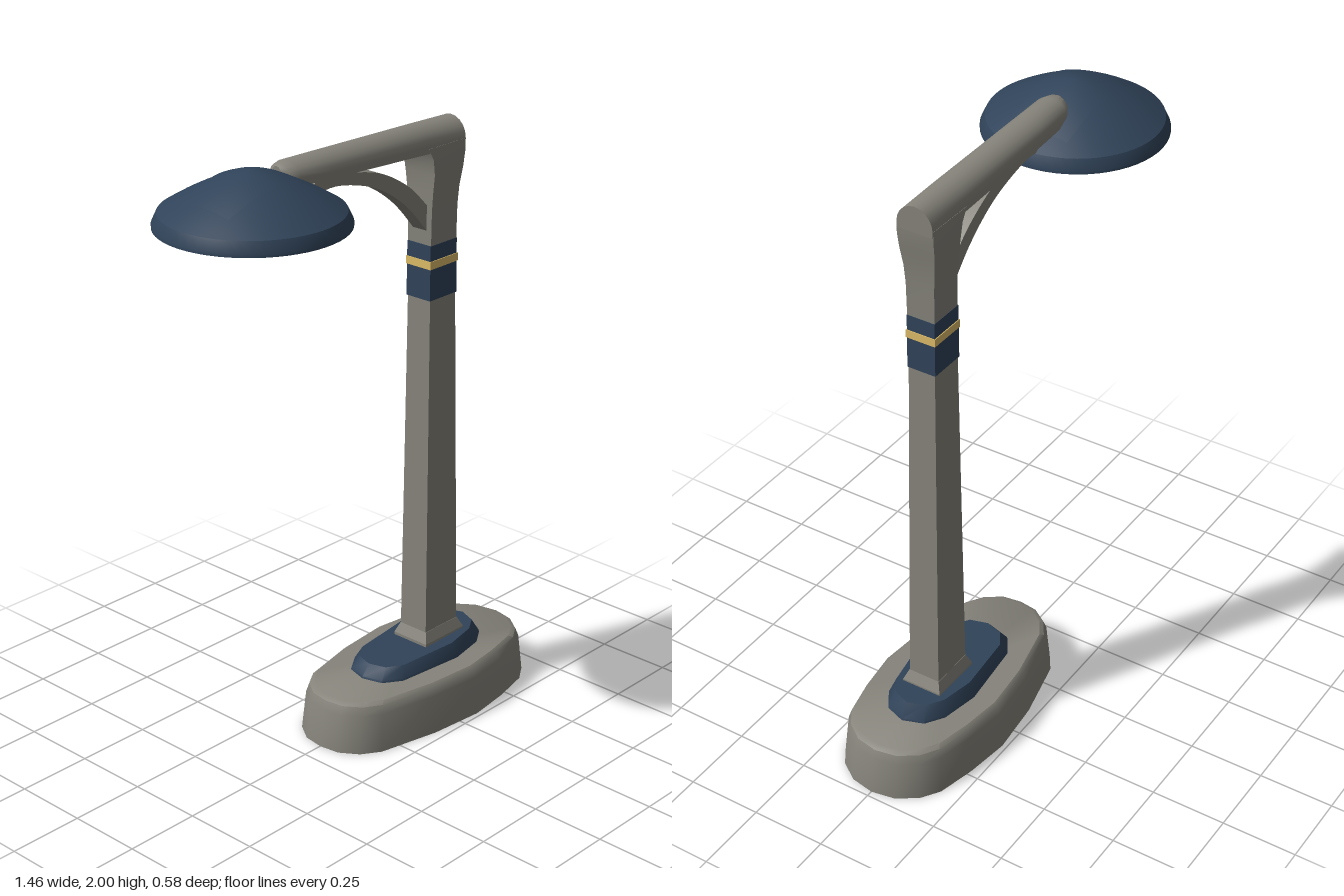
import * as THREE from 'three';
import { toCreasedNormals } from 'three/addons/utils/BufferGeometryUtils.js';
import { ParametricGeometry } from 'three/addons/geometries/ParametricGeometry.js';

const paint = (name, color) => {
  const m = new THREE.MeshStandardMaterial({ color });
  m.name = name;
  return m;
};

// Skin a stack of rings (counterclockwise seen from the last ring) and close both ends.
function loft(rings, crease = 0.6) {
  const pos = [];
  const tri = (...pts) => pts.forEach(p => pos.push(...p));
  const n = rings[0].length;
  const middle = ring => [0, 1, 2].map(k => ring.reduce((s, p) => s + p[k], 0) / n);
  const first = rings[0], last = rings[rings.length - 1];
  const c0 = middle(first), c1 = middle(last);
  for (let j = 0; j < n; j++) {
    const k = (j + 1) % n;
    for (let i = 0; i < rings.length - 1; i++) {
      const a = rings[i], b = rings[i + 1];
      tri(a[j], a[k], b[k]);
      tri(a[j], b[k], b[j]);
    }
    tri(c0, first[k], first[j]);
    tri(c1, last[j], last[k]);
  }
  const g = new THREE.BufferGeometry();
  g.setAttribute('position', new THREE.Float32BufferAttribute(pos, 3));
  return toCreasedNormals(g, crease);
}

// Rectangular ring: height, x range, half depth.
const rect = ([y, x0, x1, z]) => [[x0, y, z], [x1, y, z], [x1, y, -z], [x0, y, -z]];

// Mirrored plan outline, repeated at several heights: [y, scaleX, scaleZ, tilt].
function slab(half, cx, levels) {
  const back = half.slice(1, -1).reverse().map(([x, z]) => [x, -z]);
  return loft(levels.map(([y, sx, sz, tilt = 0]) => [...half, ...back].map(([x, z]) =>
    [cx + (x - cx) * sx, y + (x - cx) * tilt, z * sz])));
}

export function createModel() {
  const group = new THREE.Group();
  const stone = paint('warm grey', 0x85837a);
  const navy = paint('navy', 0x304359);
  const gold = paint('gold', 0xdcbc68);
  const glow = paint('cream', 0xe6d9b6);
  const add = (name, geometry, material) => {
    const mesh = new THREE.Mesh(geometry, material);
    mesh.name = name;
    group.add(mesh);
    return mesh;
  };

  // Base and the plate on it
  add('base', slab([[-0.18, 0], [-0.17, 0.07], [-0.13, 0.13], [-0.07, 0.17], [0.14, 0.217],
    [0.33, 0.235], [0.48, 0.215], [0.61, 0.185], [0.67, 0.145], [0.715, 0.08], [0.73, 0]], 0.275,
  [[0, 1, 1], [0.13, 0.965, 0.95], [0.158, 0.94, 0.91], [0.168, 0.9, 0.86]]), stone);
  add('basePlate', slab([[0.02, 0], [0.04, 0.07], [0.1, 0.11], [0.34, 0.135],
    [0.47, 0.11], [0.53, 0.07], [0.555, 0]], 0.29,
  [[0.16, 1, 1], [0.175, 0.99, 0.98], [0.216, 0.88, 0.84, 0.02]]), navy);

  // Pole, sleeve and neck
  add('poleFoot', loft([[0.2, 0.255, 0.442, 0.07], [0.225, 0.255, 0.442, 0.07],
    [0.26, 0.27, 0.426, 0.056]].map(rect), 0.3), stone);
  add('pole', loft([[0.25, 0.27, 0.425, 0.055], [1.45, 0.281, 0.4, 0.046]].map(rect)), stone);
  add('sleeve', loft([[1.42, 0.277, 0.403, 0.049], [1.6, 0.278, 0.402, 0.048]].map(rect)), navy);
  add('sleeveStripe', loft([[1.524, 0.275, 0.405, 0.051], [1.55, 0.275, 0.405, 0.051]].map(rect)), gold);
  add('neck', loft([[1.58, 0.281, 0.4, 0.047], [1.71, 0.281, 0.401, 0.049], [1.77, 0.281, 0.404, 0.053],
    [1.83, 0.28, 0.412, 0.06], [1.88, 0.272, 0.419, 0.062], [1.92, 0.25, 0.42, 0.062]].map(rect), 0.5), stone);

  // Arm with a flat underside and rounded top: [x, bottom, shoulder, top, half width]
  const armRing = ([x, b, m, t, w]) => {
    const ring = [[x, b, w]];
    for (let i = 0; i <= 10; i++) {
      const a = Math.PI * i / 10;
      ring.push([x, m + (t - m) * Math.sin(a), w * Math.cos(a)]);
    }
    return [...ring, [x, b, -w]];
  };
  add('arm', loft([[0.421, 1.9, 1.92, 1.984, 0.061], [0.25, 1.905, 1.93, 1.988, 0.061],
    [-0.17, 1.924, 1.945, 1.996, 0.059], [-0.3, 1.93, 1.955, 1.998, 0.056],
    [-0.33, 1.93, 1.955, 1.995, 0.042], [-0.343, 1.93, 1.955, 1.988, 0.022]].map(armRing)), stone);

  // Curved brace below the arm
  const v = (x, y) => new THREE.Vector2(x, y);
  const brace = new THREE.Shape();
  brace.moveTo(0.3, 1.71);
  brace.splineThru([v(0.27, 1.74), v(0.2, 1.805), v(0.1, 1.865), v(0, 1.898), v(-0.2, 1.935)]);
  brace.lineTo(-0.24, 1.87);
  brace.splineThru([v(-0.13, 1.883), v(0, 1.855), v(0.1, 1.81), v(0.2, 1.735), v(0.3, 1.625)]);
  const braceGeometry = new THREE.ExtrudeGeometry(brace, { depth: 0.056, bevelEnabled: false, curveSegments: 5 });
  braceGeometry.translate(0, 0, -0.028);
  add('brace', toCreasedNormals(braceGeometry, 0.5), stone);

  // Domed lamp shade with a recessed rim underneath
  const lamp = new THREE.Group();
  lamp.name = 'lamp';
  lamp.position.x = -0.443;
  group.add(lamp);
  const dome = r => 1.88 + 0.117 * (1 - (r / 0.275) ** 1.5);
  const profile = [v(0.001, 1.84), v(0.2, 1.84), v(0.205, 1.828), v(0.25, 1.828), v(0.255, 1.836),
    v(0.291, 1.836), v(0.291, 1.846)];
  for (let i = 0; i <= 10; i++) {
    const r = 0.275 * (1 - i / 10);
    profile.push(v(r, dome(r)));
  }
  const shade = new THREE.LatheGeometry(profile, 56);
  lamp.add(add('shade', toCreasedNormals(shade.toNonIndexed(), 0.5), navy));

  // Slightly raised strip across the crown
  const crown = new ParametricGeometry((s, t, p) => {
    const x = -0.19 + 0.4 * s, z = 0.11 * (1 - 2 * t) * (0.88 + 0.12 * Math.sin(Math.PI * s));
    p.set(x, dome(Math.min(0.275, Math.hypot(x, z))) + 0.005 * Math.sin(Math.PI * s), z);
  }, 20, 12);
  lamp.add(add('crownStrip', crown, navy));

  // Light panel
  const panel = new THREE.CylinderGeometry(0.2, 0.2, 0.008, 48);
  panel.translate(0, 1.834, 0);
  lamp.add(add('lightPanel', panel, glow));

  return group;
}
